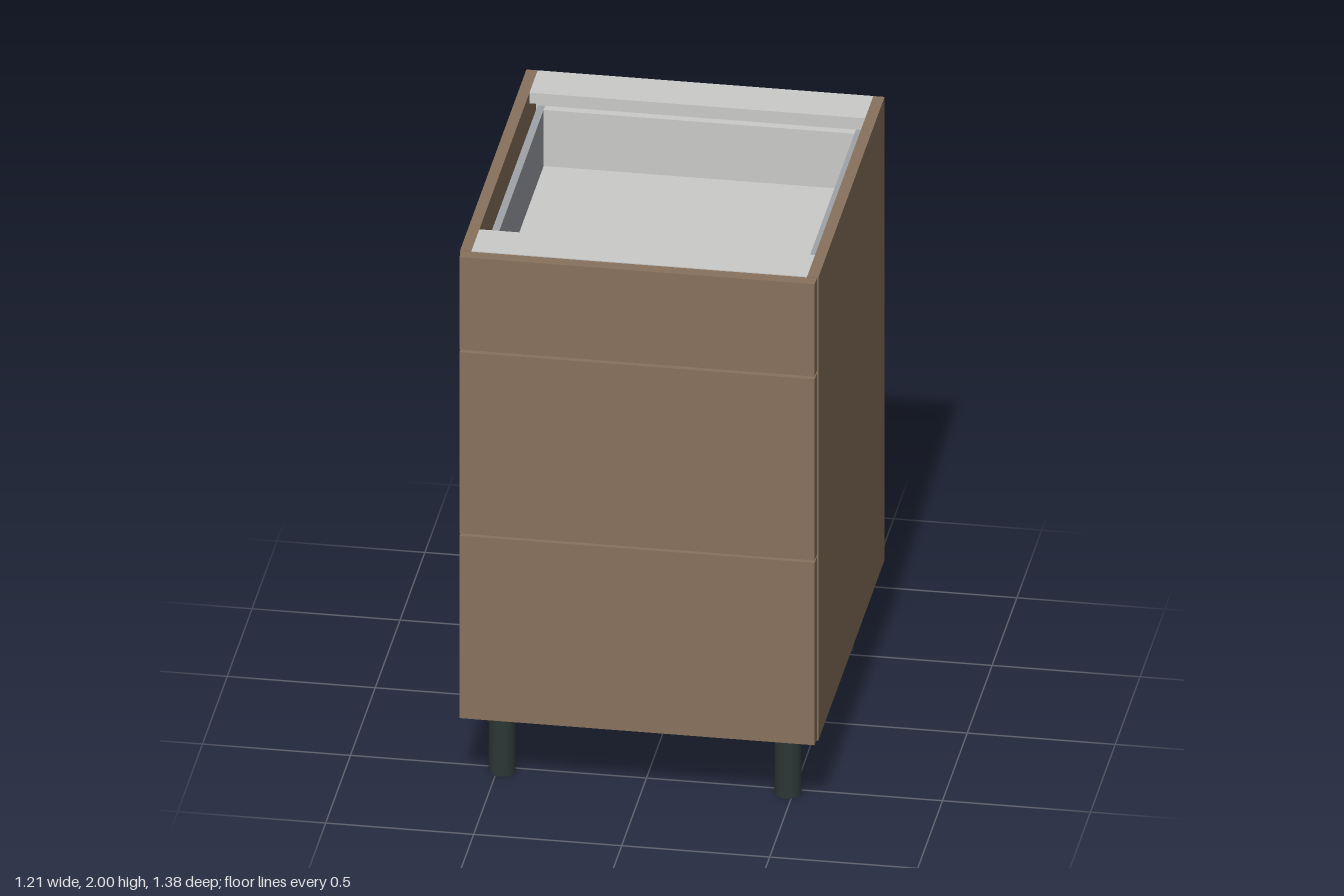
import * as THREE from 'three';

function material(name, color) {
  const m = new THREE.MeshStandardMaterial({ color });
  m.name = name;
  return m;
}

export function createModel() {
  const wood = material('brown wood', 0x88725d);
  const board = material('light grey board', 0xcbcbc9);
  const metal = material('slate metal', 0x9fa3a8);
  const plastic = material('dark plastic', 0x2d3736);

  const cabinet = new THREE.Group();
  cabinet.name = 'drawerCabinet';

  // Box given by its extents on each axis
  function box(parent, name, mat, [x0, x1], [y0, y1], [z0, z1]) {
    const mesh = new THREE.Mesh(new THREE.BoxGeometry(x1 - x0, y1 - y0, z1 - z0), mat);
    mesh.position.set((x0 + x1) / 2, (y0 + y1) / 2, (z0 + z1) / 2);
    mesh.name = name;
    parent.add(mesh);
  }

  const base = 0.265, top = 2, back = -0.69, front = 0.645, inner = 0.567;
  const inside = [-inner, inner];

  // Carcass: side panels, floor, back and two top rails
  box(cabinet, 'rightPanel', wood, [-0.605, -inner], [base, top], [back, front]);
  box(cabinet, 'leftPanel', wood, [inner, 0.605], [base, top], [back, front]);
  box(cabinet, 'floor', board, inside, [base, base + 0.04], [back + 0.03, front]);
  box(cabinet, 'backPanel', board, inside, [base, top - 0.04], [back, back + 0.03]);
  box(cabinet, 'backRail', board, inside, [top - 0.04, top], [back, -0.525]);
  box(cabinet, 'frontRail', board, inside, [top - 0.04, top], [0.485, front]);

  // Drawers: wooden front, metal sides, board bottom and back
  const fronts = [[0.27, 0.953], [0.962, 1.641], [1.651, 1.997]];
  fronts.forEach(([y0, y1], i) => {
    const drawer = new THREE.Group();
    drawer.name = `drawer${i + 1}`;
    const low = y0 + (i === 0 ? 0.05 : 0.02);
    const high = low + 0.25;
    box(drawer, 'drawerFront', wood, [-0.6, 0.6], [y0, y1], [front, 0.69]);
    box(drawer, 'drawerBottom', board, [-0.525, 0.525], [low, low + 0.04], [-0.59, front]);
    box(drawer, 'drawerBack', board, [-0.525, 0.525], [low + 0.04, high], [-0.59, -0.56]);
    box(drawer, 'rightRunnerSide', metal, [-0.55, -0.525], [low, high], [-0.59, front]);
    box(drawer, 'leftRunnerSide', metal, [0.525, 0.55], [low, high], [-0.59, front]);
    cabinet.add(drawer);
  });

  // Four round legs
  const legGeometry = new THREE.CylinderGeometry(0.045, 0.045, base, 32);
  for (const x of [-0.483, 0.483]) {
    for (const z of [-0.542, 0.525]) {
      const leg = new THREE.Mesh(legGeometry, plastic);
      leg.position.set(x, base / 2, z);
      leg.name = `${z > 0 ? 'front' : 'back'}${x > 0 ? 'Left' : 'Right'}Leg`;
      cabinet.add(leg);
    }
  }

  return cabinet;
}
